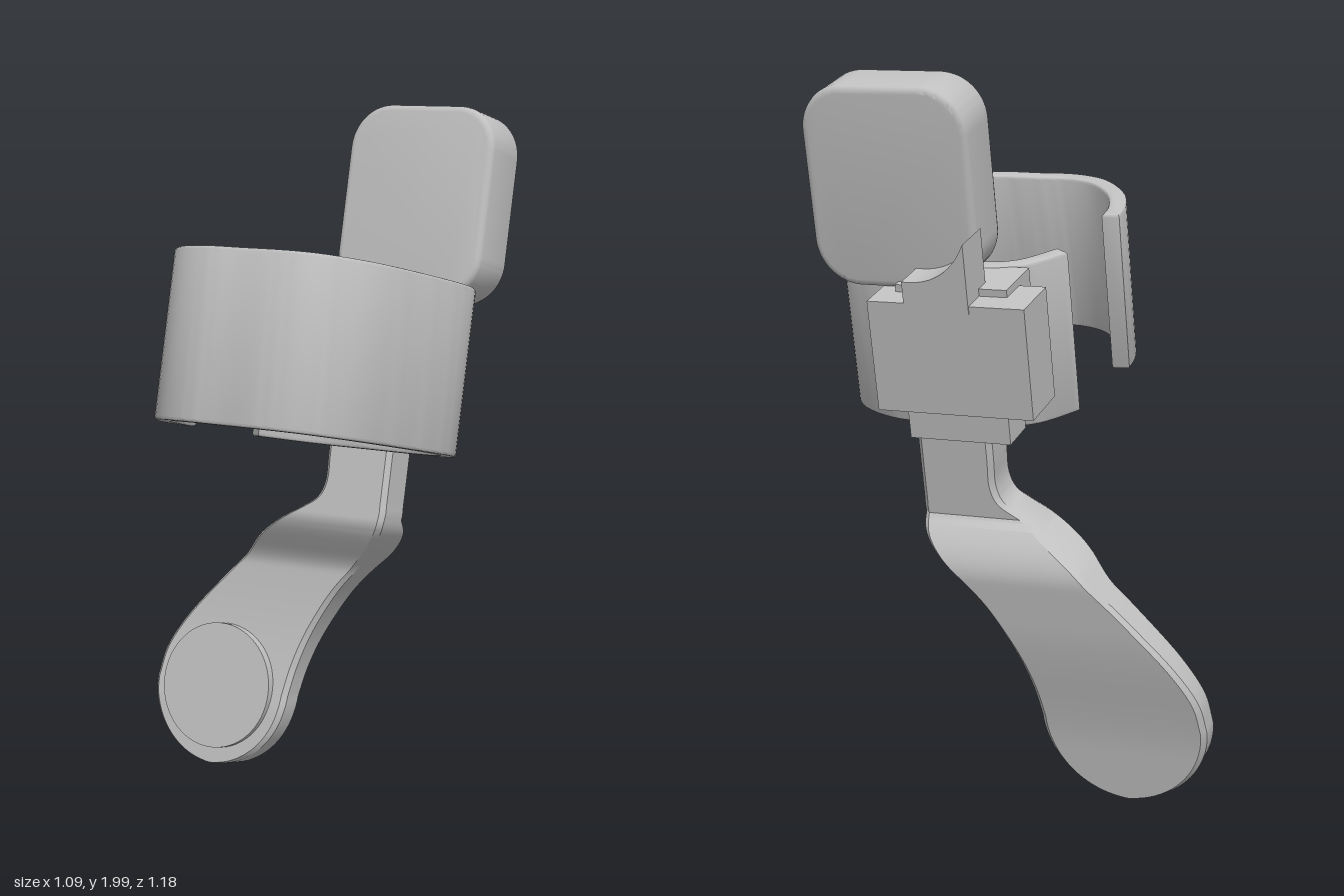
import * as THREE from 'three';
import { toCreasedNormals } from 'three/addons/utils/BufferGeometryUtils.js';

const grey = new THREE.MeshStandardMaterial({ color: 0xc0c0c0 });
grey.name = 'plain grey';

export function createModel() {
  const model = new THREE.Group();
  model.name = 'cuffWithPaddle';
  // the whole assembly leans back and is turned slightly to one side
  const body = new THREE.Group();
  body.name = 'tiltedAssembly';
  body.rotation.set(-0.227, -0.227, 0, 'YXZ');
  model.add(body);

  const add = (name, geometry, crease = 0.6) => {
    const mesh = new THREE.Mesh(toCreasedNormals(geometry, crease), grey);
    mesh.name = name;
    body.add(mesh);
    return mesh;
  };
  const block = (name, [x0, x1], [y0, y1], [z0, z1]) =>
    add(name, new THREE.BoxGeometry(x1 - x0, y1 - y0, z1 - z0)
      .translate((x0 + x1) / 2, (y0 + y1) / 2, (z0 + z1) / 2));
  const extrude = (shape, depth, bevel, curveSegments = 12) =>
    new THREE.ExtrudeGeometry(shape, {
      depth: depth - 2 * bevel, curveSegments,
      bevelEnabled: bevel > 0, bevelThickness: bevel, bevelSize: bevel,
      bevelOffset: -bevel, bevelSegments: 3,
    }).translate(0, 0, bevel);

  // open cuff: outer curve, offset inwards for the wall thickness
  const rim = new THREE.SplineCurve([
    [-0.18, 0.144], [-0.1, 0.04], [0, 0], [0.15, 0], [0.3, 0], [0.427, 0.058],
    [0.488, 0.149], [0.511, 0.24], [0.501, 0.388], [0.464, 0.587], [0.416, 0.693],
    [0.345, 0.77], [0.25, 0.797], [0.13, 0.797], [0.02, 0.797], [-0.085, 0.755],
    [-0.173, 0.653], [-0.215, 0.54], [-0.223, 0.454],
  ].map(([x, z]) => new THREE.Vector2(x, z)));
  const outer = [], inner = [];
  for (let i = 0; i <= 90; i++) {
    const p = rim.getPoint(i / 90), t = rim.getTangent(i / 90);
    outer.push(new THREE.Vector2(p.x, -p.y));
    inner.push(new THREE.Vector2(p.x - t.y * 0.05, -(p.y + t.x * 0.05)));
  }
  const cuffShape = new THREE.Shape([...outer, ...inner.reverse()]);
  add('cuff', extrude(cuffShape, 0.465, 0.008).rotateX(-Math.PI / 2).translate(0, 1.048, 0));

  // clip housing and the mount that joins it to the cuff
  block('clipHousing', [-0.19, 0.25], [1.18, 1.49], [-0.227, -0.06]);
  block('mount', [-0.115, 0.2], [1.18, 1.51], [-0.15, 0.02]);
  block('lowerTab', [-0.115, 0.17], [1.1, 1.19], [-0.215, -0.1]);

  // thumb ramp on top of the housing
  const ramp = new THREE.Shape();
  ramp.moveTo(-0.037, 1.47);
  ramp.lineTo(0.144, 1.47);
  ramp.lineTo(0.144, 1.55);
  ramp.quadraticCurveTo(0.02, 1.54, -0.037, 1.66);
  add('thumbRamp', extrude(ramp, 0.13, 0).translate(0, 0, -0.23));

  // upper pad: rounded slab
  const [x0, x1, y0, y1, r] = [-0.032, 0.433, 1.49, 2.04, 0.125];
  const pad = new THREE.Shape();
  pad.absarc(x1 - r, y0 + r, r, -Math.PI / 2, 0);
  pad.absarc(x1 - r, y1 - r, r, 0, Math.PI / 2);
  pad.absarc(x0 + r, y1 - r, r, Math.PI / 2, Math.PI);
  pad.absarc(x0 + r, y0 + r, r, Math.PI, Math.PI * 1.5);
  add('upperPad', extrude(pad, 0.172, 0.018).translate(0, 0, -0.127));

  add('paddle', paddleGeometry(), 0.5);

  // round button on the paddle
  add('button', new THREE.CylinderGeometry(0.188, 0.188, 0.05, 64)
    .rotateX(Math.PI / 2).translate(-0.378, 0.297, -0.155));
  return model;
}

// stem and paddle: chamfered cross-sections stacked upwards
function paddleGeometry() {
  const cx = -0.378, cy = 0.297, r = 0.235;
  const rows = []; // height, left edge, right edge
  for (let i = 0; i < 20; i++) {
    const a = (i + 0.15) / 20 * Math.PI / 2;
    rows.push([cy - r * Math.cos(a), cx - r * Math.sin(a), cx + r * Math.sin(a)]);
  }
  const edges = new THREE.CatmullRomCurve3([
    [0.297, -0.613, -0.143], [0.384, -0.598, -0.128], [0.487, -0.54, -0.095],
    [0.62, -0.425, -0.022], [0.7, -0.345, 0.045], [0.764, -0.275, 0.115],
    [0.82, -0.185, 0.163], [0.865, -0.105, 0.175], [0.9, -0.056, 0.175],
    [0.945, -0.038, 0.175], [1.03, -0.038, 0.175], [1.3, -0.038, 0.175],
  ].map((p) => new THREE.Vector3(...p)));
  for (let i = 0; i <= 66; i++) rows.push(edges.getPoint(i / 66).toArray());

  const { smoothstep, clamp } = THREE.MathUtils;
  const front = (y) => -0.148 - 0.014 * Math.sin(Math.PI * clamp((y - 0.25) / 0.5, 0, 1))
    + 0.104 * smoothstep(y, 0.68, 0.85);
  const back = (y) => {
    const belly = -0.236 - 0.032 * smoothstep(y, 0.2, 0.6);
    const rise = clamp((y - 0.71) / 0.145, 0, 1);
    return belly + (-0.172 - belly) * rise * rise;
  };

  const pos = [], index = [], n = 8;
  for (const [y, a, b] of rows) {
    const f = front(y), k = back(y), c = Math.min(0.014, (b - a) * 0.2);
    pos.push(a + c, y, f, b - c, y, f, b, y, f - c, b, y, k + c,
      b - c, y, k, a + c, y, k, a, y, k + c, a, y, f - c);
  }
  for (let i = 0; i < rows.length - 1; i++) {
    for (let j = 0; j < n; j++) {
      const p = i * n + j, q = i * n + (j + 1) % n;
      index.push(p, q, q + n, p, q + n, p + n);
    }
  }
  // closing faces at the bottom and the top
  const top = (rows.length - 1) * n;
  for (let j = 1; j < n - 1; j++) {
    index.push(0, j + 1, j, top, top + j, top + j + 1);
  }
  const geometry = new THREE.BufferGeometry();
  geometry.setAttribute('position', new THREE.Float32BufferAttribute(pos, 3));
  geometry.setIndex(index);
  return geometry;
}
